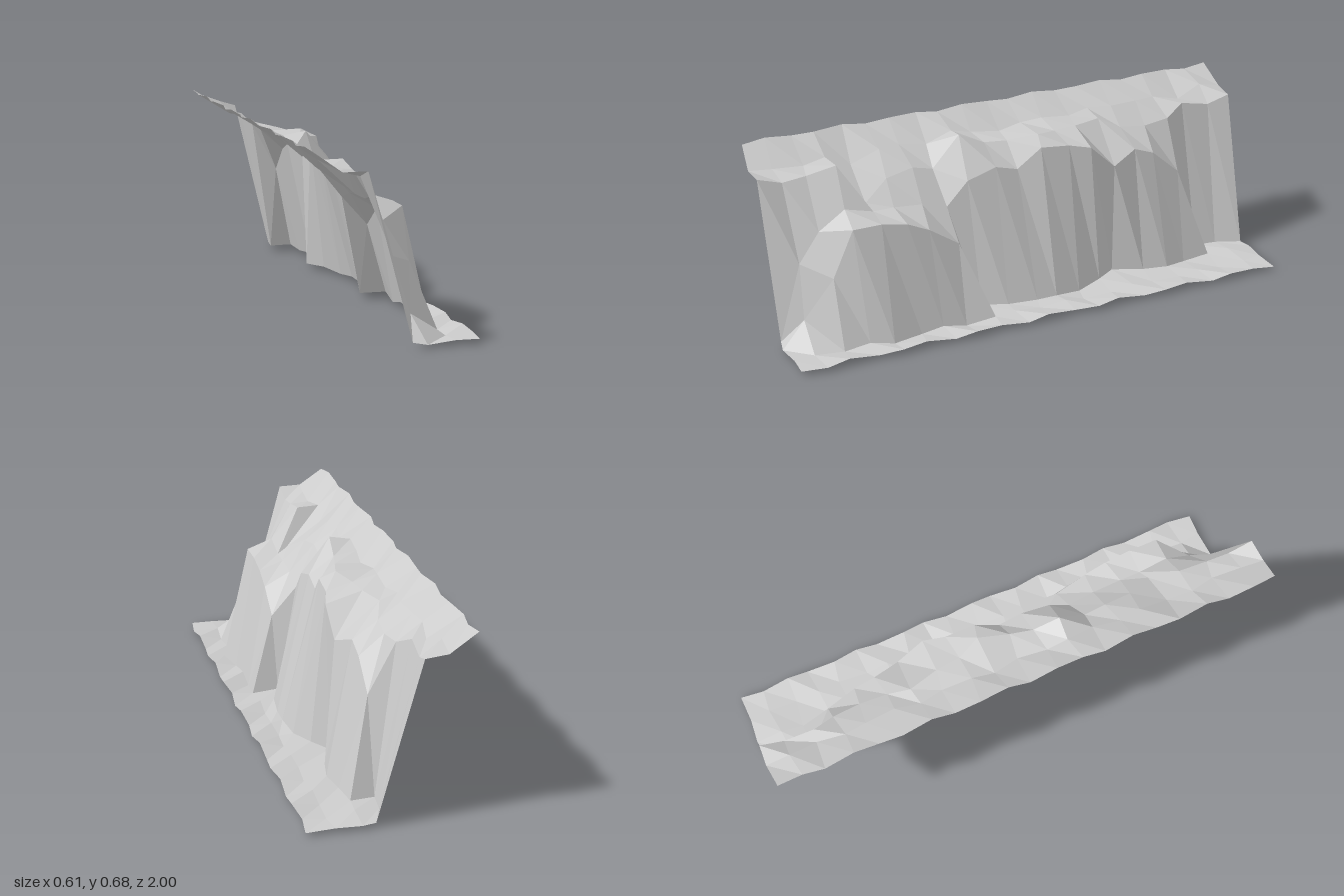
import * as THREE from 'three';

// Lengthwise stations run from z = -1 to z = 1, one every 0.1.
// Each column lists values at those stations.
const upperLedge = {
  x: [-.11, -.12, -.13, -.1, -.09, -.1, -.13, -.1, -.09, -.05, -.08, -.1, -.11, -.1, -.1, -.09, -.04, -.11, -.11, -.11, -.11],
  y: [.61, .58, .6, .56, .55, .56, .6, .6, .6, .615, .6, .6, .645, .53, .55, .53, .47, .61, .59, .58, .61],
};
const rim = {
  x: [.05, .01, 0, 0, 0, 0, .035, .04, .015, .01, 0, 0, 0, 0, 0, 0, 0, 0, 0, .01, .05],
  y: [.02, .02, .02, .37, .47, .5, .46, .56, .575, .585, .51, .535, .5, .41, .44, .45, .45, .48, .41, .3, .02],
};
const lowerLedge = {
  x: [.1, .1, .09, .1, .12, .1, .05, .1, .14, .155, .155, .14, .1, .1, .1, .1, .1, .1, .1, .07, .1],
  y: [.02, .03, .02, .015, .02, .02, .02, .02, .01, .02, .02, .02, .02, .3, .38, .42, .44, .44, .26, .1, .012],
};
const col1Height = [.62, .64, .6, .62, .62, .62, .62, .61, .62, .61, .6, .61, .63, .6, .61, .61, .57, .61, .6, .605, .61];

export function createModel() {
  const group = new THREE.Group();
  const rows = 21, cols = 7;
  const wobble = (j, k) => Math.sin(j * 2.3 + k * 1.7);

  // Cross-section: crest, shoulder, ledge, rim, lower ledge, foot, outer ground
  const section = (j) => [
    [-.3 + .008 * wobble(j, 0), .68 + .006 * wobble(j, 1)],
    [-.19 + .012 * wobble(j, 2), col1Height[j]],
    [upperLedge.x[j], upperLedge.y[j]],
    [rim.x[j], rim.y[j]],
    [lowerLedge.x[j], lowerLedge.y[j]],
    [j === 16 ? .23 : .2 + .006 * wobble(j, 3), j === 8 || j === 13 ? 0.002 : .016 + .006 * wobble(j, 4)],
    [.295 + .007 * wobble(j, 5), .022 + .008 * wobble(j, 6)],
  ];

  const positions = [], index = [];
  for (let j = 0; j < rows; j++) {
    section(j).forEach(([x, y], i) => {
      const end = j === 0 || j === rows - 1;
      const z = -1 + j * .1 + (end ? (j ? -1 : 1) * .006 * (1 + wobble(i, 1)) : .01 * wobble(j, i));
      positions.push(x, y, z);
      if (i < cols - 1 && j < rows - 1) {
        const a = j * cols + i, b = a + 1, c = a + cols, d = c + 1;
        index.push(a, c, b, b, c, d);
      }
    });
  }

  const geometry = new THREE.BufferGeometry();
  geometry.setAttribute('position', new THREE.Float32BufferAttribute(positions, 3));
  geometry.setIndex(index);
  geometry.computeVertexNormals();

  // Open faceted cliff sheet
  const cliff = new THREE.Mesh(geometry, new THREE.MeshStandardMaterial({
    color: 0xcccccc, flatShading: true, side: THREE.DoubleSide,
  }));
  cliff.name = 'cliffFace';
  group.add(cliff);
  return group;
}
